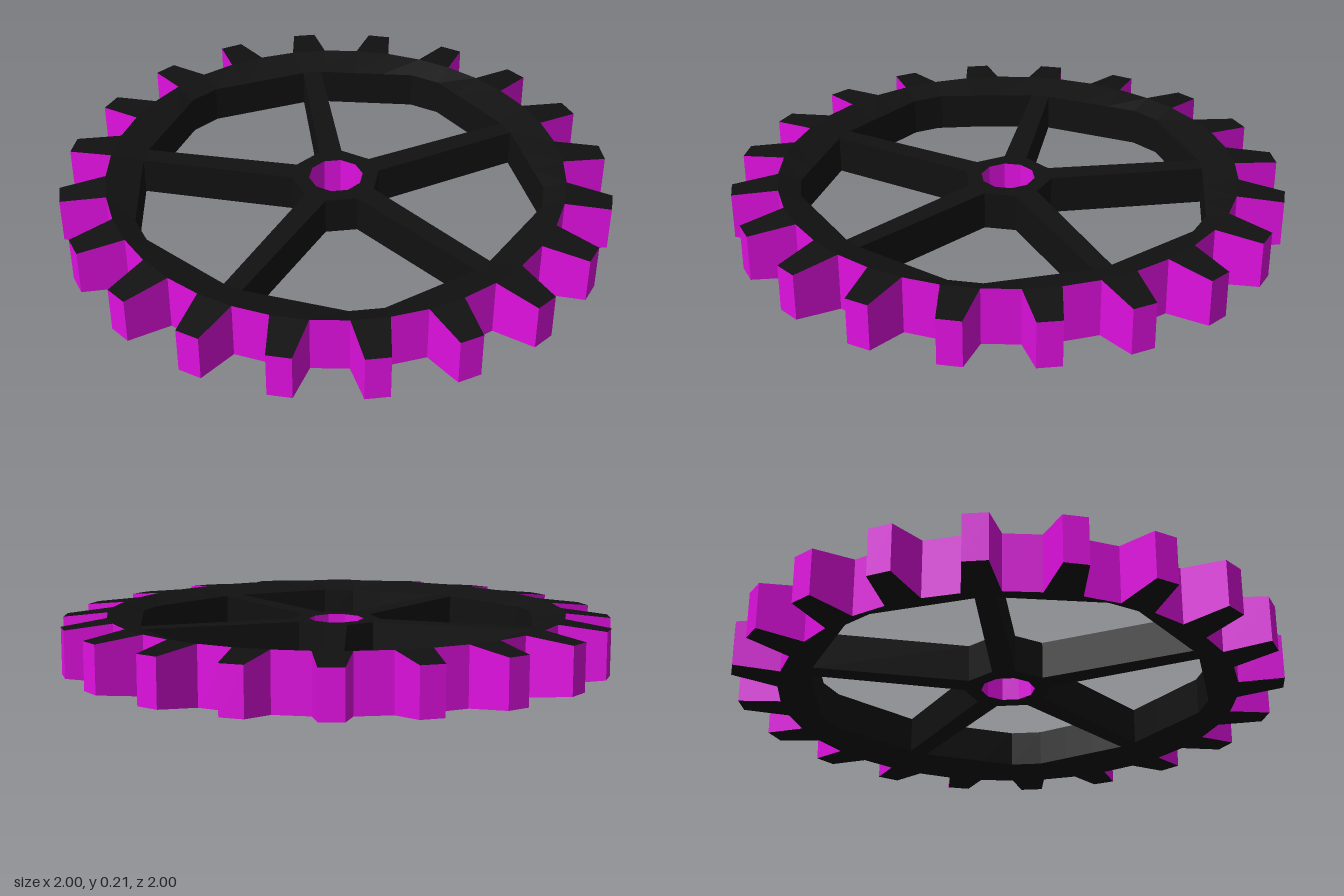
import * as THREE from 'three';

const SECTORS = 5, STEPS = 8, STEP = 9, START = -4.6; // degrees, clockwise from -z
const black = new THREE.MeshStandardMaterial({ color: 0x111111, flatShading: true });
const magenta = new THREE.MeshStandardMaterial({ color: 0xe010e0, flatShading: true });

// A vertical edge of the gear: plan position plus its bottom and top heights
function edge(r, deg, lo, hi) {
  const a = THREE.MathUtils.degToRad(deg + START);
  return { x: r * Math.sin(a), z: -r * Math.cos(a), lo, hi };
}
const rootEdge = (k) => edge(0.835, k * STEP + STEP / 2, 0, 0.21);
const innerEdge = (r, deg) => edge(r, deg, 0.04, 0.18);
function between(p, q, t) {
  return { ...p, x: p.x + (q.x - p.x) * t, z: p.z + (q.z - p.z) * t };
}

// Collects flat quads for one named part
class Part {
  constructor(name, material) {
    this.name = name;
    this.material = material;
    this.pos = [];
  }
  quad(a, b, c, d) {
    for (const v of [a, b, c, a, c, d]) this.pos.push(...v);
  }
  // top and bottom faces; corners anticlockwise from above
  caps(...e) {
    this.quad(...e.map((p) => [p.x, p.hi, p.z]));
    this.quad(...e.reverse().map((p) => [p.x, p.lo, p.z]));
  }
  // upright face, outward when p to q runs clockwise
  wall(p, q) {
    this.quad([q.x, q.lo, q.z], [p.x, p.lo, p.z], [p.x, p.hi, p.z], [q.x, q.hi, q.z]);
  }
  mesh() {
    const g = new THREE.BufferGeometry();
    g.setAttribute('position', new THREE.Float32BufferAttribute(this.pos, 3));
    g.computeVertexNormals();
    const m = new THREE.Mesh(g, this.material);
    m.name = this.name;
    return m;
  }
}

// Rim side of one window: two long chords joined by a short one
function windowEdges(s) {
  const o = s * 72;
  const a = innerEdge(0.72, o + 2.8), b = innerEdge(0.755, o + 31.5);
  const c = innerEdge(0.755, o + 40.5), d = innerEdge(0.72, o + 69.2);
  return [a, between(a, b, 0.36), between(a, b, 0.68), b, c, between(c, d, 0.32), between(c, d, 0.64), d];
}

export function createModel() {
  const rim = new Part('rim', black);
  const toothCaps = new Part('toothCaps', black);
  const toothWalls = new Part('toothWalls', magenta);
  const spokes = new Part('spokes', black);
  const hub = new Part('hub', black);
  const bore = new Part('bore', magenta);

  for (let s = 0; s < SECTORS; s++) {
    const o = s * 72;
    const win = windowEdges(s);
    const next = windowEdges(s + 1)[0];

    // rim, with a tooth on every second step
    for (let i = 0; i < STEPS; i++) {
      const k = s * STEPS + i;
      const p = rootEdge(k), q = rootEdge(k + 1);
      const ip = win[i], iq = i < STEPS - 1 ? win[i + 1] : next;
      rim.caps(ip, iq, q, p);
      if (i < STEPS - 1) rim.wall(iq, ip);
      if (k % 2) {
        const mid = (k + 1) * STEP;
        const tp = edge(1, mid - 2.45, 0.02, 0.19);
        const tq = edge(1, mid + 2.45, 0.02, 0.19);
        toothCaps.caps(p, q, tq, tp);
        toothWalls.wall(p, tp);
        toothWalls.wall(tp, tq);
        toothWalls.wall(tq, q);
      } else {
        toothWalls.wall(p, q);
      }
    }

    // spoke at the end of this sector, tapering outwards
    const h0 = innerEdge(0.16, o + 15), h1 = innerEdge(0.16, o + 57);
    const h2 = innerEdge(0.16, o + 87);
    spokes.caps(h1, h2, next, win[7]);
    spokes.wall(h1, win[7]);
    spokes.wall(next, h2);

    // hub ring around a ten-sided bore
    const b0 = innerEdge(0.099, o + 18), b1 = innerEdge(0.099, o + 54);
    const b2 = innerEdge(0.099, o + 90);
    hub.caps(b0, b1, h1, h0);
    hub.caps(b1, b2, h2, h1);
    hub.wall(h0, h1);
    bore.wall(b1, b0);
    bore.wall(b2, b1);
  }

  const group = new THREE.Group();
  group.name = 'gearWheel';
  for (const part of [rim, toothCaps, toothWalls, spokes, hub, bore]) group.add(part.mesh());
  return group;
}
